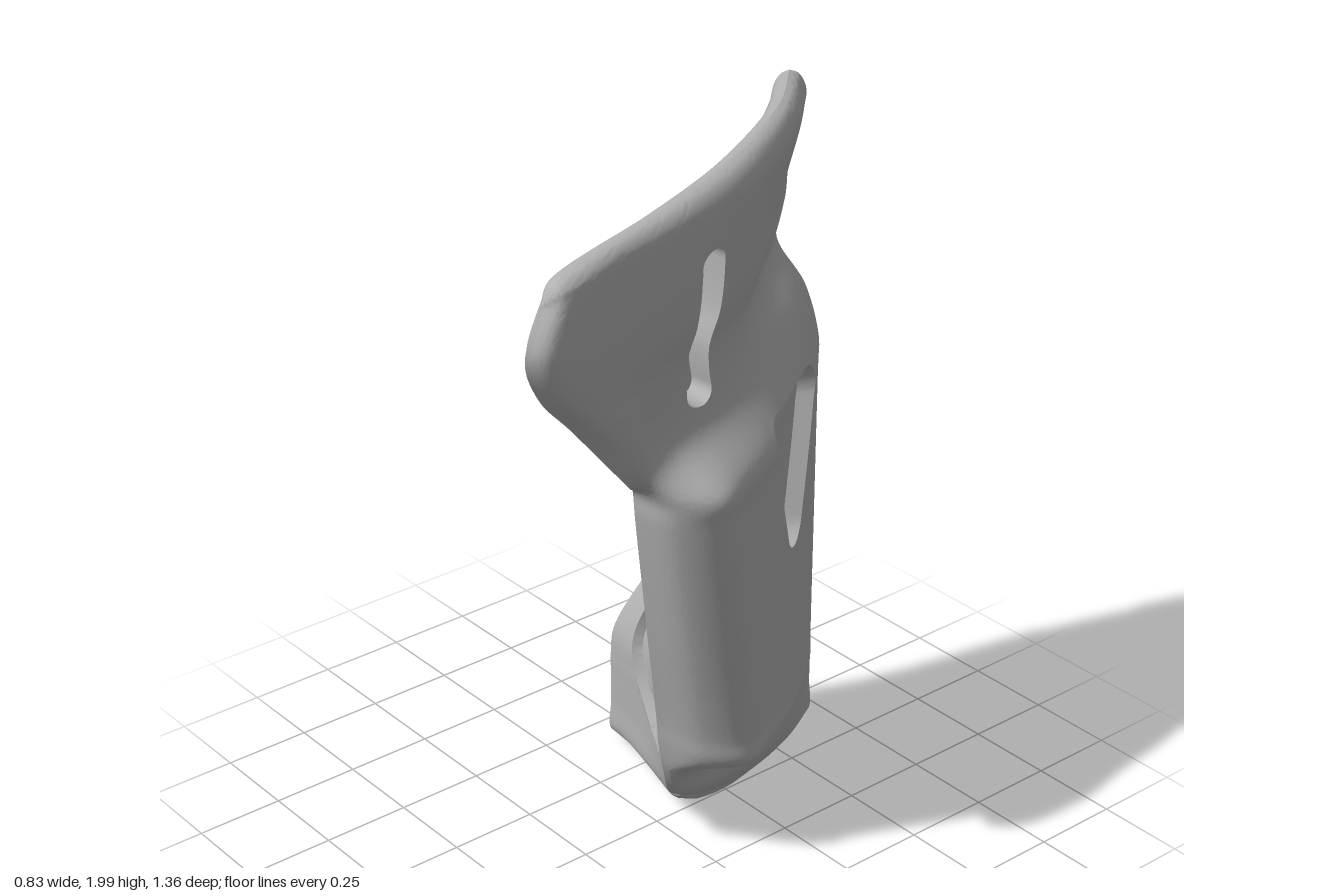
import * as THREE from 'three';
import { toCreasedNormals } from 'three/addons/utils/BufferGeometryUtils.js';

// Plan axes: s runs along the shell away from the cut plane, t points to the outside.
const SX = 0.877, SZ = 0.48;
const sOf = (p) => SX * p.x + SZ * p.z;
const COLS = 130, STEP = 0.0125, BAND = 0.021;

// Plan sections as x, z pairs; the first point of each lies on the cut plane.
const outFloor = [-.13, -.68, -.06, -.55, -.015, -.44, .015, -.34, .04, -.25, .055, -.17, .06, -.1, .045, -.045];
const outFoot = [-.13, -.68, -.015, -.54, .07, -.41, .135, -.27, .165, -.13, .18, 0, .17, .08, .145, .1];
const outLow = [-.13, -.68, 0, -.555, .1, -.43, .19, -.3, .27, -.16, .325, -.05, .27, .06, .15, .12];
const outHigh = [-.13, -.68, .02, -.53, .145, -.36, .27, -.18, .36, 0, .41, .13, .34, .23, .21, .25];
const outLedge = [-.15, -.64, -.02, -.5, .11, -.31, .21, -.12, .27, .04, .3, .18, .31, .28, .28, .32];
const outNeck = [-.19, -.57, -.075, -.43, .045, -.29, .175, -.12, .26, .09, .315, .31, .35, .48, .32, .525];
const outCrest = [-.175, -.6, -.04, -.46, .08, -.32, .205, -.13, .29, .09, .338, .35, .385, .625, .345, .673];
const outRim = [-.155, -.63, 0, -.47, .125, -.29, .235, -.08, .3, .14, .335, .36, .372, .58, .335, .62];
const inFloor = [-.41, -.17, -.33, -.16, -.22, -.13, -.13, -.1, -.05, -.07, .005, -.05];
const inFoot = [-.41, -.17, -.3, -.15, -.18, -.11, -.07, -.053, .02, .008, .09, .065];
const inMid = [-.285, -.4, -.18, -.3, -.08, -.18, .01, -.06, .08, .055, .145, .155];
const inNeck = [-.265, -.43, -.14, -.28, -.02, -.12, .08, .06, .16, .23, .262, .45];
const inCrest = [-.235, -.49, -.1, -.33, .03, -.14, .125, .07, .2, .3, .301, .625];
const inRim = [-.2, -.55, -.06, -.4, .06, -.2, .155, .01, .225, .24, .298, .57];
const mix = (a, b, k) => a.map((v, i) => v + (b[i] - v) * k);

function sectionCurve(flat) {
  const pts = [];
  for (let i = 0; i < flat.length; i += 2) pts.push(new THREE.Vector3(flat[i], 0, flat[i + 1]));
  pts[0].z = -0.68 - (pts[0].x + 0.13) / (SZ / SX);
  return new THREE.CatmullRomCurve3(pts);
}

// One level: height goes from y0 at the cut to y1 at the front edge.
function makeRow(y0, y1, outer, inner) {
  const curves = [sectionCurve(outer), sectionCurve([...inner, ...outer.slice(-2)])];
  return [0, 1].map((k) => Array.from({ length: COLS + 1 }, (_, i) => {
    const a = i / COLS, p = curves[k].getPoint(a);
    p.y = y0 + (y1 - y0) * a * a;
    return p;
  }));
}

// Rounds a row over towards its middle line, fading out at the front edge.
function capRow(row, height, angle) {
  const c = Math.cos(angle), lift = height * Math.sin(angle);
  return [0, 1].map((k) => row[k].map((p, i) => {
    const q = row[0][i].clone().add(row[1][i]).multiplyScalar(0.5).lerp(p, c);
    q.y += lift * (1 - (i / COLS) ** 4);
    return q;
  }));
}

// Signed distance to a rounded outline: a point or convex polygon grown by r.
function outlineDistance({ core, r }, s, y) {
  let best = Infinity, inside = core.length > 2, sign = 0;
  core.forEach(([ax, ay], i) => {
    const [bx, by] = core[(i + 1) % core.length];
    const dx = bx - ax, dy = by - ay, px = s - ax, py = y - ay;
    const k = Math.min(1, Math.max(0, (px * dx + py * dy) / (dx * dx + dy * dy || 1)));
    best = Math.min(best, Math.hypot(px - k * dx, py - k * dy));
    const side = Math.sign(dx * py - dy * px);
    if (sign && side && side !== sign) inside = false;
    sign = sign || side;
  });
  return (inside ? -best : best) - r;
}

// Pockets in (s, y); the open slot runs through the shell along x.
const outerPockets = [
  { core: [[.095, 1.2], [-.155, 1.2], [-.03, .9]], r: .075, depth: .05 },
  { core: [[-.008, .935]], r: .028, depth: .06 },
  { core: [[.264, 1.44], [.268, 1.78]], r: .036, depth: .075, open: true },
];
const innerPockets = [
  { core: [[-.1, .45]], r: .245, depth: .03 },
  { core: [[-.255, 1.57]], r: .245, depth: .028 },
  { core: [[.057, .87], [.128, .87], [.128, 1.23], [.057, 1.23]], r: .1, depth: .045 },
  { core: [[-.15, .94]], r: .04, depth: .08 },
  { core: [[.145, 1.44], [.18, 1.78]], r: .036, depth: .075, open: true },
];

// Snaps grid points to pocket outlines and sinks those inside.
function carve(grid, pockets, dir) {
  const holes = new Set();
  const out = grid.map((line) => line.map((p) => p.clone()));
  for (let j = 1; j < grid.length - 1; j++) for (let i = 0; i < COLS; i++) {
    const p = grid[j][i], s = sOf(p), q = out[j][i];
    for (const pocket of pockets) {
      const d = outlineDistance(pocket, s, p.y);
      if (d <= 0) {
        q.x += dir * pocket.depth * (pocket.open ? 1 : SZ);
        q.z -= dir * pocket.depth * (pocket.open ? 0 : SX);
        if (pocket.open) holes.add(j * (COLS + 1) + i);
      }
      if (Math.abs(d) > BAND) continue;
      const e = 1e-4, shift = (d > 0 ? 0.0008 : -0.0008) - d;
      const gs = (outlineDistance(pocket, s + e, p.y) - d) / e;
      const gy = (outlineDistance(pocket, s, p.y + e) - d) / e;
      const ds = i === 0 ? 0 : gs * shift;
      const dy = i === 0 ? shift / (Math.abs(gy) > .3 ? gy : Infinity) : gy * shift;
      const pa = grid[j][i + 1].clone().sub(grid[j][Math.max(0, i - 1)]);
      const pv = grid[j + 1][i].clone().sub(grid[j - 1][i]);
      const det = sOf(pa) * pv.y - sOf(pv) * pa.y;
      if (Math.abs(det) < 1e-9) continue;
      q.addScaledVector(pa, (ds * pv.y - sOf(pv) * dy) / det);
      q.addScaledVector(pv, (sOf(pa) * dy - ds * pa.y) / det);
    }
  }
  return { grid: out, holes };
}

function makeGeometry(list) {
  const g = new THREE.BufferGeometry();
  g.setAttribute('position', new THREE.Float32BufferAttribute(list, 3));
  return toCreasedNormals(g, 0.6);
}

export function createModel() {
  // Levels from the foot to the rim
  const floor = makeRow(.04, .1, outFloor, inFloor);
  const rim = makeRow(1.93, 1.845, outRim, inRim);
  const levels = [
    capRow(floor, -.04, 1.0), capRow(floor, -.04, .5), floor,
    makeRow(.14, .19, mix(outFloor, outFoot, .68), mix(inFloor, inFoot, .68)),
    makeRow(.24, .3, outFoot, inFoot),
    makeRow(.29, .39, outLow, inFoot),
    makeRow(.38, .45, mix(outLow, outHigh, .05), mix(inFoot, inMid, .04)),
    makeRow(.55, .57, mix(outLow, outHigh, .2), mix(inFoot, inMid, .42)),
    makeRow(.72, .72, mix(outLow, outHigh, .4), mix(inFoot, inMid, .9)),
    makeRow(.82, .82, mix(outLow, outHigh, .53), inMid),
    makeRow(1.15, 1.13, mix(outLow, outHigh, .93), inMid),
    makeRow(1.23, 1.2, outHigh, inMid),
    makeRow(1.39, 1.265, outLedge, mix(inMid, inNeck, .15)),
    makeRow(1.54, 1.5, outNeck, inNeck),
    makeRow(1.65, 1.62, mix(outNeck, outCrest, .72), mix(inNeck, inCrest, .6)),
    makeRow(1.76, 1.73, outCrest, inCrest),
    rim, capRow(rim, .07, .5), capRow(rim, .07, 1.05), capRow(rim, .07, Math.PI / 2),
  ];

  // Sample positions up the levels, evenly spaced in height
  const samples = [0];
  for (let k = 1; k < levels.length; k++) {
    const gap = Math.max(...[0, COLS].map((i) => levels[k][0][i].y - levels[k - 1][0][i].y));
    const n = Math.max(3, Math.ceil(gap / STEP));
    for (let m = 1; m <= n; m++) samples.push((k - 1 + m / n) / (levels.length - 1));
  }
  const loft = (side) => {
    const grid = samples.map(() => []);
    for (let i = 0; i <= COLS; i++) {
      const rib = new THREE.CatmullRomCurve3(levels.map((row) => row[side][i]));
      samples.forEach((v, j) => grid[j].push(rib.getPoint(v)));
    }
    return grid;
  };
  const outer = carve(loft(0), outerPockets, -1);
  const inner = carve(loft(1), innerPockets, 1);

  const body = [], cut = [];
  const n1 = new THREE.Vector3(), n2 = new THREE.Vector3();
  const tri = (list, a, b, c) => {
    if (n1.subVectors(b, a).cross(n2.subVectors(c, a)).length() < 1e-9) return;
    for (const p of [a, b, c]) list.push(p.x, p.y, p.z);
  };
  // Outer and inner skins, left open at the through slot
  for (const [{ grid, holes }, flip] of [[outer, false], [inner, true]]) {
    const add = (...ids) => {
      if (ids.every(([j, i]) => holes.has(j * (COLS + 1) + i))) return;
      const [a, b, c] = ids.map(([j, i]) => grid[j][i]);
      flip ? tri(body, a, c, b) : tri(body, a, b, c);
    };
    for (let j = 0; j < samples.length - 1; j++) for (let i = 0; i < COLS; i++) {
      add([j, i], [j + 1, i], [j, i + 1]);
      add([j, i + 1], [j + 1, i], [j + 1, i + 1]);
    }
  }
  // Underside
  const O = outer.grid, I = inner.grid;
  for (let i = 0; i < COLS; i++) {
    tri(body, I[0][i], O[0][i], I[0][i + 1]);
    tri(body, I[0][i + 1], O[0][i], O[0][i + 1]);
  }
  // Flat face on the cut plane
  for (let j = 0; j < samples.length - 1; j++) {
    tri(cut, I[j][0], I[j + 1][0], O[j][0]);
    tri(cut, O[j][0], I[j + 1][0], O[j + 1][0]);
  }
  const grey = new THREE.MeshStandardMaterial({ color: 0xb0b0b0, side: THREE.DoubleSide });
  grey.name = 'grey';
  const group = new THREE.Group();
  group.name = 'gripShell';
  for (const [name, list] of [['shellBody', body], ['cutFace', cut]]) {
    const mesh = new THREE.Mesh(makeGeometry(list), grey);
    mesh.name = name;
    group.add(mesh);
  }
  return group;
}
